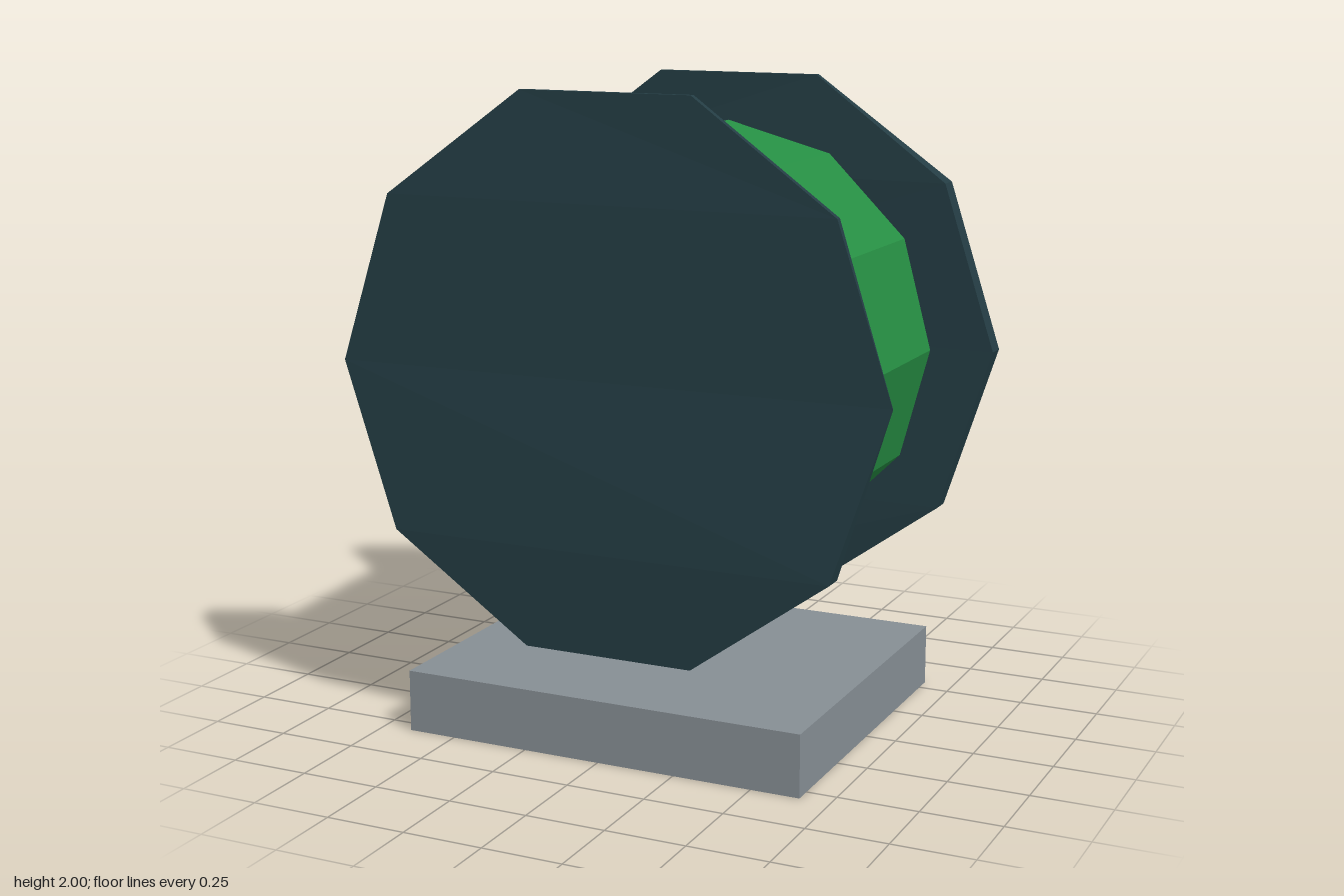
import * as THREE from 'three';

const CENTRE_Y = 1.155;

const dark = new THREE.MeshStandardMaterial({ color: 0x243d44 });
dark.name = 'darkSlate';
const green = new THREE.MeshStandardMaterial({ color: 0x268f43 });
green.name = 'green';
const grey = new THREE.MeshStandardMaterial({ color: 0x868e94 });
grey.name = 'grey';

// Faceted solid between two rings of points that run counter-clockwise seen from +z
function solid(front, back) {
  const n = front.length;
  const pos = [];
  const tri = (a, b, c) => {
    const area = b.clone().sub(a).cross(c.clone().sub(a)).length();
    if (area > 1e-6) for (const p of [a, b, c]) pos.push(p.x, p.y, p.z);
  };
  // Sides
  for (let i = 0; i < n; i++) {
    const j = (i + 1) % n;
    tri(back[i], back[j], front[j]);
    tri(back[i], front[j], front[i]);
  }
  // Ends, filled with horizontal strips
  const order = [];
  for (let i = 0; i < n / 2; i++) order.push((2 - i + n) % n, 3 + i);
  for (let i = 0; i < n - 2; i++) {
    const [a, b, c] = order.slice(i, i + 3);
    if (i % 2 === 0) {
      tri(front[a], front[b], front[c]);
      tri(back[a], back[c], back[b]);
    } else {
      tri(front[a], front[c], front[b]);
      tri(back[a], back[b], back[c]);
    }
  }
  const geo = new THREE.BufferGeometry();
  geo.setAttribute('position', new THREE.Float32BufferAttribute(pos, 3));
  geo.computeVertexNormals();
  return geo;
}

const ringPoint = (radius, degrees, z) => {
  const a = THREE.MathUtils.degToRad(degrees);
  return new THREE.Vector3(radius * Math.cos(a), radius * Math.sin(a), z);
};

// Ten-sided flange whose rim thickness varies from corner to corner
function flange(halfThickness) {
  const ring = (s) => halfThickness.map((h, i) => ringPoint(0.888, i * 36, s * h));
  return solid(ring(1), ring(-1));
}

// Twelve-sided drum with two corners merged at the front end
function drum() {
  const ring = (z) => Array.from({ length: 12 }, (_, i) => ringPoint(0.697, i * 30, z));
  const front = ring(0.4);
  front[5] = ringPoint(0.7, 165, 0.4);
  front[6] = front[5].clone();
  return solid(front, ring(-0.4));
}

export function createModel() {
  const model = new THREE.Group();
  model.name = 'spool';

  const add = (name, geometry, material, y, z = 0) => {
    const mesh = new THREE.Mesh(geometry, material);
    mesh.name = name;
    mesh.position.set(0, y, z);
    model.add(mesh);
    return mesh;
  };

  add('base', new THREE.BoxGeometry(1.31, 0.195, 1.11), grey, 0.0975);
  add('drum', drum(), green, CENTRE_Y);

  const T = 0.032, t = 0.01;
  add('frontFlange', flange([0.001, t, t, t, T, T, T, t, t, T]), dark, CENTRE_Y, 0.477);
  const rear = add('backFlange', flange([0.001, t, t, t, T, T, T, t, t, t]), dark, CENTRE_Y, -0.477);
  rear.rotation.y = Math.PI;

  return model;
}
